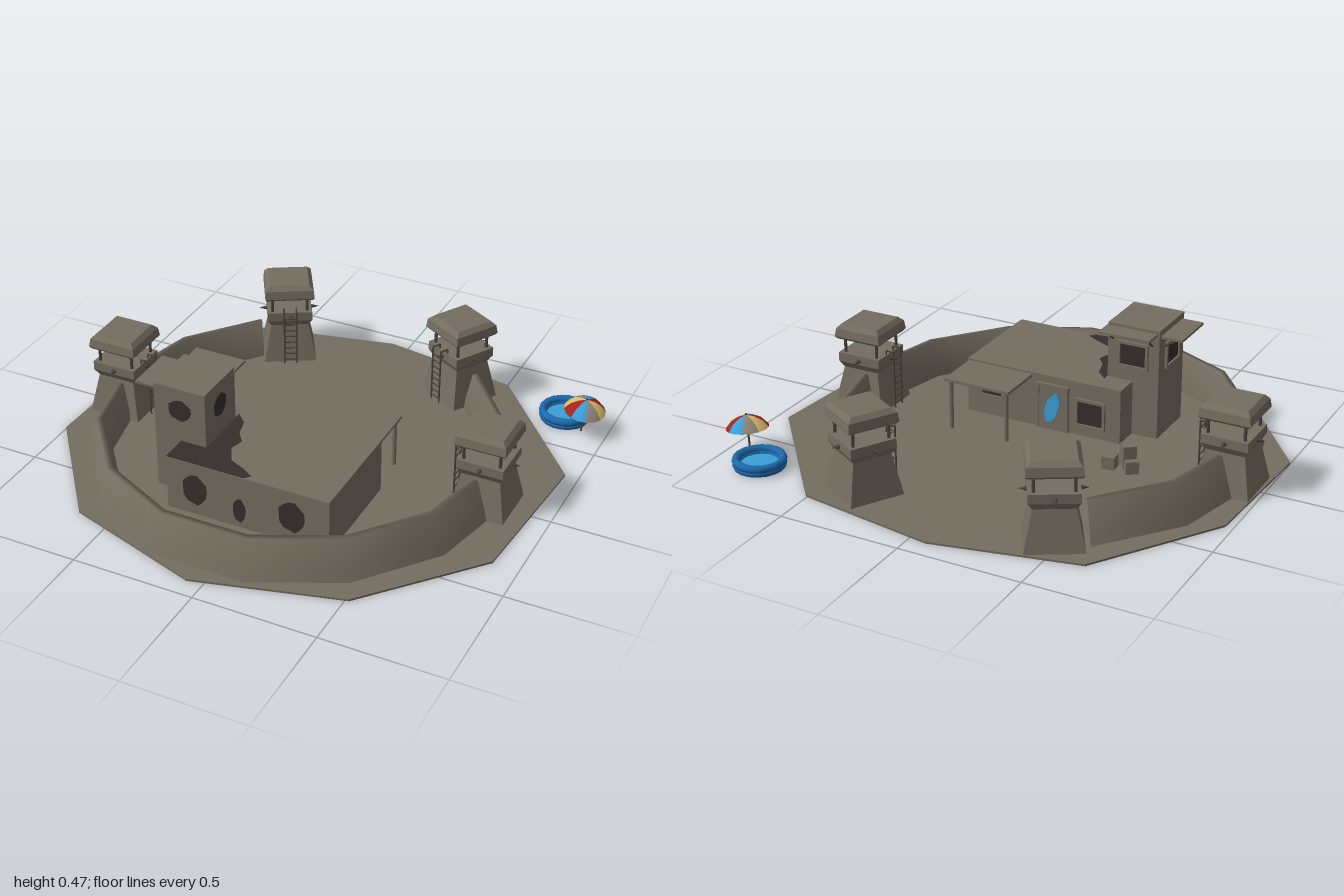
import * as THREE from 'three';

const mat = (name, color, side = THREE.FrontSide) => {
  const m = new THREE.MeshStandardMaterial({ color, side });
  m.name = name;
  return m;
};

export function createModel() {
  const clay = mat('clay', 0x746d60), clayOpen = clay;
  const metal = mat('dark metal', 0x4a463d);
  const burnt = mat('burnt dark', 0x362e2c);
  const deepBlue = mat('pool blue', 0x1d6aad);
  const water = mat('light blue', 0x3a9fd8, THREE.DoubleSide);
  const red = mat('red', 0xa3231d, THREE.DoubleSide);
  const sand = mat('sand yellow', 0xd9b968, THREE.DoubleSide);
  const grey = mat('warm grey', 0x8f8375, THREE.DoubleSide);

  const model = new THREE.Group();
  const CX = -0.065; // centre of the ring wall

  // ---- helpers ----
  const add = (parent, name, geo, material, x = 0, y = 0, z = 0) => {
    const m = new THREE.Mesh(geo, material);
    m.name = name;
    m.position.set(x, y, z);
    parent.add(m);
    return m;
  };
  // box given by its min and max corners
  const block = (parent, name, material, x0, x1, y0, y1, z0, z1) =>
    add(parent, name, new THREE.BoxGeometry(x1 - x0, y1 - y0, z1 - z0), material,
      (x0 + x1) / 2, (y0 + y1) / 2, (z0 + z1) / 2);
  // square frustum with flat faces, half widths at the bottom and top
  const frustum = (parent, name, material, b, t, y0, y1) => {
    let g = new THREE.CylinderGeometry(t * Math.SQRT2, b * Math.SQRT2, y1 - y0, 4);
    g.rotateY(Math.PI / 4);
    g = g.toNonIndexed();
    g.computeVertexNormals();
    return add(parent, name, g, material, 0, (y0 + y1) / 2, 0);
  };
  // thin round bar between two points
  const bar = (parent, name, a, b, r = 0.004, material = metal) => {
    const p = new THREE.Vector3(...a), q = new THREE.Vector3(...b);
    const m = add(parent, name, new THREE.CylinderGeometry(r, r, p.distanceTo(q), 6), material);
    m.position.copy(p).add(q).multiplyScalar(0.5);
    m.quaternion.setFromUnitVectors(new THREE.Vector3(0, 1, 0), q.sub(p).normalize());
    return m;
  };
  const plate = (pts, depth = 0.006) => new THREE.ExtrudeGeometry(
    new THREE.Shape(pts.map(p => new THREE.Vector2(...p))), { depth, bevelEnabled: false });
  // ragged hole shape
  const blob = (rx, ry) => plate(Array.from({ length: 14 }, (_, i) => {
    const a = i / 14 * Math.PI * 2, k = 0.95 + 0.06 * Math.sin(i * 2.4);
    return [rx * k * Math.cos(a), ry * k * Math.sin(a)];
  }));

  // ---- ground slab ----
  const ground = plate([[-0.07, 0.925], [-0.645, 0.8], [-0.97, 0.31], [-1, -0.27], [-0.64, -0.74],
    [-0.065, -0.925], [0.515, -0.77], [0.895, -0.335], [0.945, 0.31], [0.505, 0.83]], 0.008);
  ground.rotateX(-Math.PI / 2);
  add(model, 'ground', ground, clay);

  // ---- ring wall, open at the back ----
  const step = Math.PI / 7;
  const profile = [[0.875, 0], [0.855, 0.05], [0.81, 0.158], [0.785, 0.16], [0.755, 0.05], [0.75, 0]]
    .map(p => new THREE.Vector2(...p));
  add(model, 'ringWall', new THREE.LatheGeometry(profile, 11, -Math.PI / 2 - 2 * step, 11 * step), clayOpen, CX);

  // ---- watchtowers ----
  for (const deg of [0, 60, 120, 180]) {
    const a = deg * Math.PI / 180, t = new THREE.Group();
    t.name = 'watchtower';
    t.position.set(CX + 0.8 * Math.cos(a), 0, -0.8 * Math.sin(a));
    t.rotation.y = Math.atan2(-Math.cos(a), Math.sin(a)); // local +z looks inwards
    model.add(t);
    frustum(t, 'towerBody', clay, 0.113, 0.078, 0, 0.18);
    frustum(t, 'platformFlare', clay, 0.078, 0.095, 0.17, 0.2);
    frustum(t, 'parapet', clay, 0.095, 0.095, 0.2, 0.238);
    frustum(t, 'roofEaves', clay, 0.097, 0.105, 0.3, 0.31);
    frustum(t, 'roofBand', clay, 0.105, 0.1, 0.31, 0.345);
    frustum(t, 'roofCap', clay, 0.1, 0.083, 0.345, 0.363);
    for (const x of [-0.074, 0.074]) {
      for (const z of [-0.074, 0.074]) bar(t, 'roofPost', [x, 0.23, z], [x, 0.305, z], 0.007);
    }
    for (let i = 0; i < 4; i++) { // spike in the middle of each side
      const s = new THREE.ConeGeometry(0.011, 0.035, 6);
      s.rotateX(Math.PI / 2).translate(0, 0.215, 0.111).rotateY(i * Math.PI / 2);
      add(t, 'spike', s, metal);
    }
    for (const x of [-0.026, 0.026]) {
      bar(t, 'ladderRail', [x, 0, 0.125], [x, 0.255, 0.125]);
      bar(t, 'ladderHook', [x, 0.255, 0.127], [x, 0.255, 0.088]);
      bar(t, 'ladderHook', [x, 0.255, 0.09], [x, 0.23, 0.09]);
    }
    for (let i = 1; i < 9; i++) bar(t, 'ladderRung', [-0.026, i * 0.028, 0.125], [0.026, i * 0.028, 0.125], 0.003);
  }

  // ---- main building ----
  const house = new THREE.Group();
  house.name = 'building';
  model.add(house);
  block(house, 'mainHall', clay, -0.35, 0.335, 0, 0.238, 0.1, 0.56);
  block(house, 'lookoutBlock', clay, -0.46, -0.24, 0, 0.47, 0.21, 0.445);
  // holes in the front and the lookout
  add(house, 'hole', blob(0.055, 0.07), burnt, -0.23, 0.12, 0.556);
  add(house, 'hole', blob(0.028, 0.055), burnt, -0.04, 0.085, 0.556);
  add(house, 'hole', blob(0.058, 0.07), burnt, 0.18, 0.125, 0.556);
  add(house, 'hole', blob(0.052, 0.047), burnt, -0.35, 0.375, 0.441);
  add(house, 'hole', blob(0.05, 0.05), burnt, -0.244, 0.37, 0.33).rotation.y = Math.PI / 2;
  // scorch mark on the hall roof
  const scorch = plate([[-0.35, -0.558], [-0.02, -0.558], [0, -0.535], [-0.05, -0.505], [-0.115, -0.475],
    [-0.155, -0.4], [-0.14, -0.345], [-0.175, -0.3], [-0.195, -0.225], [-0.24, -0.18], [-0.24, -0.44], [-0.35, -0.44]], 0.003);
  scorch.rotateX(-Math.PI / 2);
  add(house, 'scorchMark', scorch, burnt, 0, 0.237, 0);

  // framed window, facing local -z
  const framed = (name, w, h, x, y, z, turn = 0) => {
    const g = new THREE.Group();
    g.name = name;
    g.position.set(x, y, z);
    g.rotation.y = turn;
    house.add(g);
    const a = w / 2, b = h / 2, f = 0.012;
    block(g, 'pane', burnt, -a, a, -b, b, -0.004, 0.002);
    for (const s of [-1, 1]) {
      block(g, 'frameSide', clay, s * a - f / 2, s * a + f / 2, -b, b, -0.011, 0.002);
      block(g, 'frameBar', clay, -a - f / 2, a + f / 2, s * b - f / 2, s * b + f / 2, -0.012, 0.002);
    }
  };
  framed('hallWindow', 0.12, 0.11, -0.22, 0.11, 0.1);
  framed('porchWindow', 0.1, 0.07, 0.22, 0.13, 0.1);
  framed('lookoutWindow', 0.12, 0.1, -0.35, 0.35, 0.21);
  framed('lookoutWindow', 0.12, 0.1, -0.46, 0.35, 0.33, Math.PI / 2);
  // back door with a leaning blue board
  block(house, 'door', clay, -0.115, 0.005, 0.008, 0.195, 0.092, 0.1);
  for (const x of [-0.12, 0.01]) block(house, 'doorJamb', clay, x - 0.006, x + 0.006, 0, 0.2, 0.086, 0.1);
  block(house, 'doorLintel', clay, -0.126, 0.016, 0.194, 0.206, 0.086, 0.1);
  const board = add(house, 'blueBoard', blob(0.03, 0.07), water, -0.055, 0.105, 0.085);
  board.rotation.z = 0.3;

  // porch roof and posts
  block(house, 'porchRoof', clay, 0.04, 0.33, 0.218, 0.23, -0.1, 0.11);
  for (const x of [0.06, 0.31]) {
    bar(house, 'porchPost', [x, 0, -0.08], [x, 0.22, -0.08], 0.009, clay);
    bar(house, 'porchBeam', [x, 0.213, -0.095], [x, 0.213, 0.1], 0.006, clay);
  }
  // awnings of the lookout with braces
  block(house, 'backAwning', clay, -0.45, -0.235, 0.448, 0.458, 0.13, 0.215);
  block(house, 'sideAwning', clay, -0.55, -0.455, 0.436, 0.446, 0.225, 0.43);
  for (const x of [-0.43, -0.26]) bar(house, 'brace', [x, 0.405, 0.21], [x, 0.45, 0.15], 0.005);
  for (const z of [0.25, 0.41]) bar(house, 'brace', [-0.46, 0.395, z], [-0.53, 0.438, z], 0.005);

  // ---- crates ----
  for (const [x, y, z, turn] of [[-0.49, 0.034, -0.09, 0.6], [-0.455, 0.034, -0.05, 0.75],
    [-0.4, 0.034, -0.093, 0.1], [-0.468, 0.086, -0.072, 0.7]]) {
    add(model, 'crate', new THREE.BoxGeometry(0.052, 0.052, 0.052), clay, x, y, z).rotation.y = turn;
  }

  // ---- paddling pool ----
  const pool = new THREE.Group();
  pool.name = 'paddlingPool';
  pool.position.set(0.8, 0, -0.71);
  model.add(pool);
  for (const [r, y] of [[0.09, 0.016], [0.092, 0.034]]) {
    const ring = new THREE.TorusGeometry(r, 0.016, 8, 18);
    ring.rotateX(Math.PI / 2);
    add(pool, 'poolRing', ring, deepBlue, 0, y, 0);
  }
  add(pool, 'poolWater', new THREE.CylinderGeometry(0.085, 0.085, 0.012, 18), water, 0, 0.012, 0);

  // ---- sunshade ----
  const shade = new THREE.Group();
  shade.name = 'sunshade';
  shade.position.set(0.895, 0.005, -0.64);
  shade.rotation.set(0.06, 0, -0.1);
  model.add(shade);
  bar(shade, 'shadePole', [0, 0, 0], [0, 0.165, 0], 0.004);
  const canopy = [[0.085, 0.108], [0.062, 0.135], [0.032, 0.152], [0, 0.16]].map(p => new THREE.Vector2(...p));
  const stripes = [water, grey, sand, red];
  for (let i = 0; i < 8; i++) {
    add(shade, 'shadePanel', new THREE.LatheGeometry(canopy, 2, (i - 0.5) * Math.PI / 4, Math.PI / 4), stripes[i % 4]);
  }
  return model;
}
